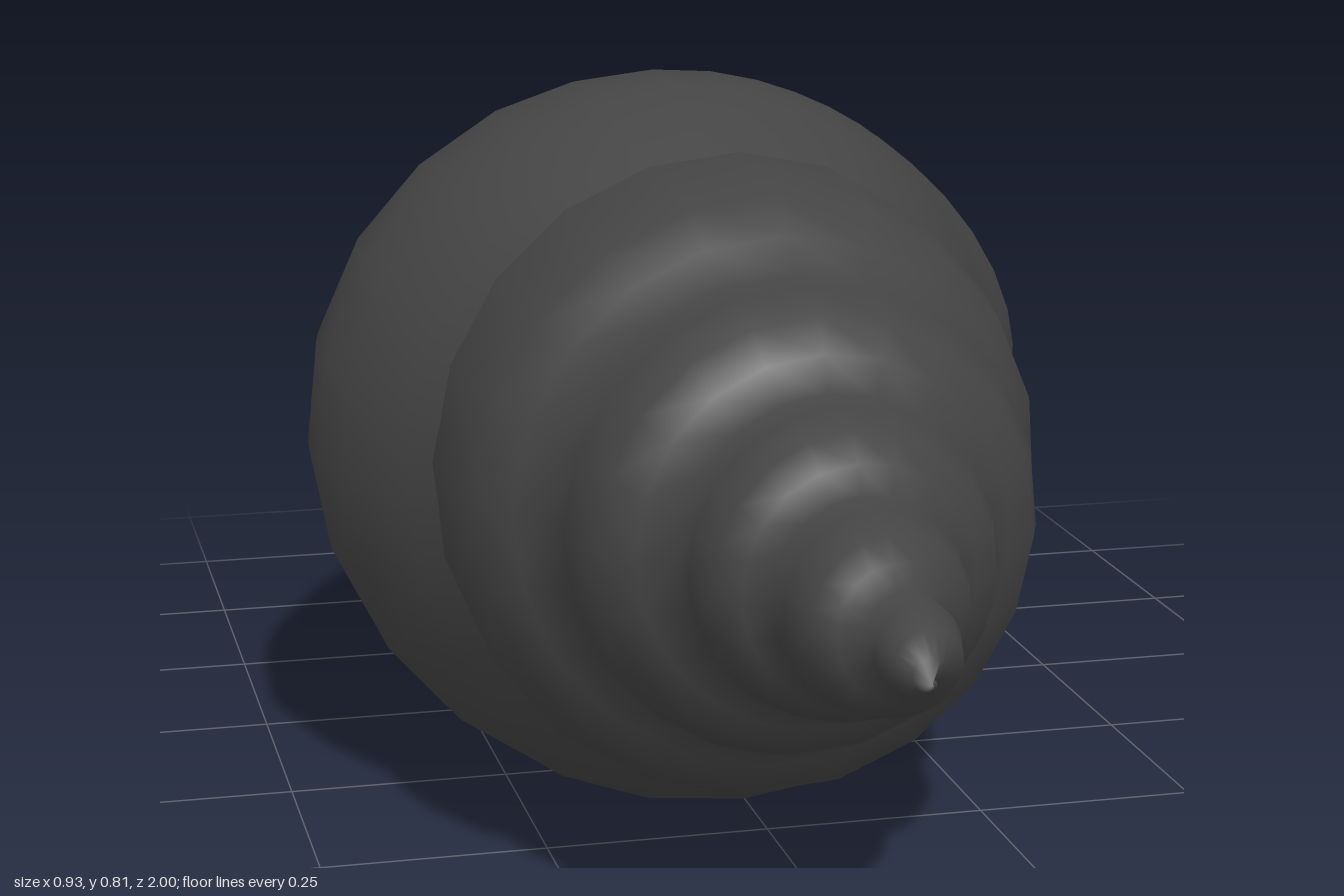
import * as THREE from 'three';
import { mergeVertices } from 'three/addons/utils/BufferGeometryUtils.js';

// t counts turns of the coil: t = 0 is the outer lip, negative runs back to the apex
const V = (t, z, r) => new THREE.Vector3(t, z, r);

function lookup(table, x) {
  if (x <= table[0][0]) return table[0][1];
  for (let i = 1; i < table.length; i++) {
    const [x0, y0] = table[i - 1], [x1, y1] = table[i];
    if (x <= x1) return y0 + (y1 - y0) * (x - x0) / (x1 - x0);
  }
  return table[table.length - 1][1];
}

// Seam between whorls: position along z by turn, and radius by z
const seamZ = [[-5.2, 1], [-4.5, 0.9], [-3.82, 0.8], [-3.32, 0.73], [-2.82, 0.66], [-2.32, 0.58],
  [-1.82, 0.5], [-1.57, 0.44], [-1.32, 0.41], [-1, 0.35], [-0.82, 0.3], [-0.57, 0.22],
  [-0.32, 0.14], [-0.07, 0.04], [0, -0.02]];
const seamR = [[-0.02, 0.36], [0.14, 0.338], [0.3, 0.32], [0.37, 0.28], [0.41, 0.25], [0.5, 0.212],
  [0.58, 0.165], [0.66, 0.125], [0.8, 0.075], [1, 0]];
function seam(t) {
  const z = lookup(seamZ, t);
  return V(t, z, lookup(seamR, z));
}

// Coil coordinates (turn, z, radius) to a point in space
function place({ x: t, y: z, z: r }) {
  const a = THREE.MathUtils.degToRad(-23) - t * Math.PI * 2;
  return [-0.03 - 0.02 * z + r * Math.cos(a), 0.41 + r * Math.sin(a), z];
}

// Smooth surface through a grid of coil coordinates, joined where whorls meet
function skin(rows) {
  const pos = [], index = [], n = rows[0].length;
  rows.forEach(row => row.forEach(p => pos.push(...place(p))));
  for (let i = 0; i < rows.length - 1; i++) {
    for (let j = 0; j < n - 1; j++) {
      const a = i * n + j, b = a + n;
      index.push(a, b, a + 1, b, b + 1, a + 1);
    }
  }
  let g = new THREE.BufferGeometry();
  g.setAttribute('position', new THREE.Float32BufferAttribute(pos, 3));
  g.setIndex(index);
  g = mergeVertices(g, 1e-4);
  g.computeVertexNormals();
  return g;
}

// Spire: a shouldered whorl section carried along the seam, closing at the apex
function spireGeometry() {
  const shoulder = [[0, 0], [0.15, 0.4], [0.32, 0.78], [0.65, 1.01], [1, 1]];
  const rows = [], steps = 104;
  for (let i = 0; i <= steps; i++) {
    const t = -6.2 + 5.2 * i / steps;
    const a = seam(t), b = seam(t + 1);
    rows.push(shoulder.map(([w, k]) => V(t, a.y + (b.y - a.y) * w, a.z + (b.z - a.z) * k)));
  }
  return skin(rows);
}

// Body whorl: cross-sections [z, r, turn offset] from the seam to the canal tip, turning round to the lip
function bodyGeometry() {
  const lip = [[-0.02, 0.36, 0], [-0.08, 0.37, -0.002], [-0.18, 0.41, -0.011], [-0.28, 0.44, -0.014], [-0.4, 0.46, -0.007],
    [-0.58, 0.4, -0.026], [-0.76, 0.22, -0.008], [-0.9, 0.135, 0.008], [-0.97, 0.095, 0.015]];
  const curl = k => lip.map(([z, r, d], j) => [z, r * (j ? k : 1), d]);
  const sections = [
    // inner column, hidden inside the whorl
    [-1.4, [[0.42, 0.22], [0.36, 0.25], [0.25, 0.28], [0.1, 0.28], [-0.05, 0.21], [-0.2, 0.11], [-0.35, 0.05], [-0.6, 0.02], [-0.9, 0.01]]],
    // inner wall of the opening
    [-1, [[0.35, 0.285], [0.24, 0.34], [0.12, 0.358], [0, 0.35], [-0.15, 0.275], [-0.3, 0.175], [-0.45, 0.095], [-0.7, 0.045], [-0.98, 0.03]]],
    // underside
    [-0.82, [[0.3, 0.32], [0.22, 0.38], [0.1, 0.407], [-0.05, 0.385], [-0.2, 0.31], [-0.3, 0.235], [-0.42, 0.15], [-0.65, 0.085], [-0.98, 0.055]]],
    // right side
    [-0.57, [[0.22, 0.335], [0.13, 0.38], [0, 0.43], [-0.1, 0.43], [-0.22, 0.405], [-0.38, 0.335], [-0.53, 0.21], [-0.77, 0.065], [-0.98, 0.05]]],
    // top
    [-0.32, [[0.14, 0.33], [0.04, 0.38], [-0.05, 0.4], [-0.2, 0.385], [-0.35, 0.335], [-0.58, 0.22], [-0.7, 0.15], [-0.85, 0.08], [-1, 0.03]]],
    // upper left
    [-0.19, [[0.09, 0.345], [0, 0.382], [-0.1, 0.4], [-0.22, 0.41], [-0.36, 0.4], [-0.58, 0.31], [-0.73, 0.19], [-0.87, 0.11], [-1, 0.055]]],
    // left side, flaring
    [-0.07, [[0.04, 0.36], [-0.05, 0.38], [-0.15, 0.425], [-0.25, 0.475], [-0.36, 0.485], [-0.58, 0.415], [-0.76, 0.245], [-0.9, 0.14], [-1, 0.08]]],
    // lip edge, then folded inwards
    [0, lip],
    [0.002, curl(0.97)],
    [-0.06, curl(0.91)],
  ];
  const lines = sections[0][1].map((_, j) => new THREE.CatmullRomCurve3(
    sections.map(([t, s]) => V(t + (s[j][2] ?? 0), s[j][0], s[j][1])), false, 'catmullrom', 0.5));
  const rows = [], steps = 54;
  for (let i = 0; i <= steps; i++) {
    const points = lines.map(line => line.getPoint(i / steps));
    // tuck the top edge just under the spire along the seam
    if (points[0].x > -1) points[0].copy(seam(points[0].x)).add(V(0, 0.01, -0.008));
    rows.push(new THREE.CatmullRomCurve3(points).getPoints(16));
  }
  return skin(rows);
}

export function createModel() {
  const group = new THREE.Group();
  group.name = 'seaShell';
  const material = new THREE.MeshStandardMaterial({ color: 0x444444, side: THREE.DoubleSide });
  const add = (name, geometry) => {
    const mesh = new THREE.Mesh(geometry, material);
    mesh.name = name;
    group.add(mesh);
  };
  add('spire', spireGeometry());
  add('bodyWhorl', bodyGeometry());
  return group;
}
